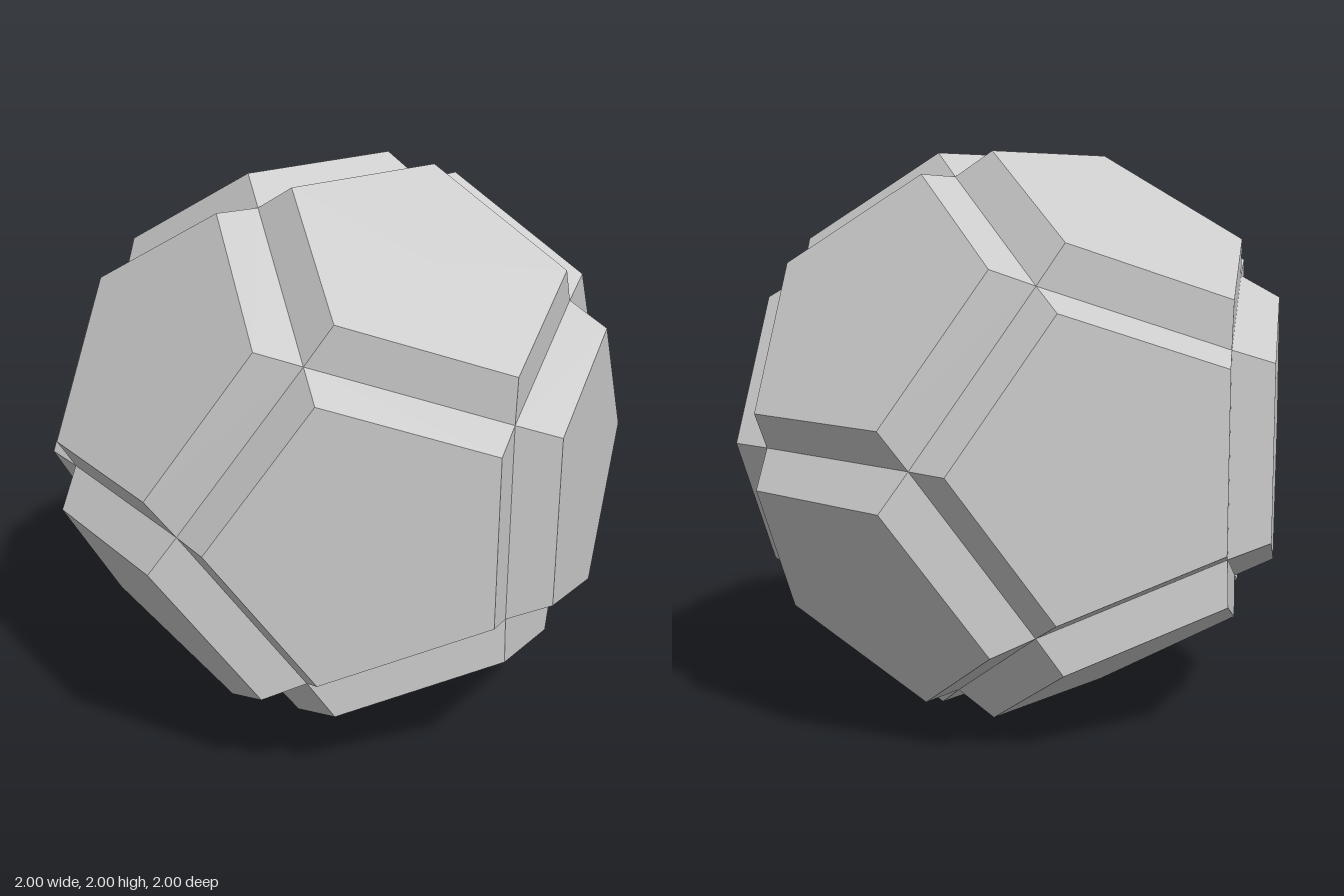
import * as THREE from 'three';

// Dodecahedron whose twelve faces are raised as tapered pentagonal plates.
export function createModel() {
  const group = new THREE.Group();
  group.name = 'dodecahedron';
  const material = new THREE.MeshStandardMaterial({ color: 0xcccccc, flatShading: true });

  const phi = (1 + Math.sqrt(5)) / 2;
  const len = Math.hypot(1, phi);
  const a = 1 / len, b = phi / len;         // components of a face normal
  const edge = 0.915;                       // centre to edge midpoint
  const sin36 = Math.sin(Math.PI / 5);
  const baseRadius = edge / phi ** 2 / sin36;
  const baseHeight = edge * b;
  const plateRadius = 0.302 / sin36;
  const plateHeight = 0.92;

  // One plate: sloping walls and a flat pentagon, open underneath
  const plate = new THREE.LatheGeometry([
    new THREE.Vector2(baseRadius, baseHeight),
    new THREE.Vector2(plateRadius, plateHeight),
    new THREE.Vector2(0, plateHeight),
  ], 5);

  // Cyclic shifts of the axes give the three groups of four faces
  const shift = (x, y, z, k) => new THREE.Vector3(...[[x, y, z], [z, x, y], [y, z, x]][k]);

  for (let k = 0; k < 3; k++) {
    for (const sx of [-1, 1]) {
      for (const sz of [-1, 1]) {
        const normal = shift(sx * a, 0, sz * b, k);
        const apex = shift(sx * b, 0, -sz * a, k);   // towards one pentagon corner
        const side = new THREE.Vector3().crossVectors(normal, apex);
        const mesh = new THREE.Mesh(plate, material);
        mesh.name = `facePlate${group.children.length + 1}`;
        mesh.quaternion.setFromRotationMatrix(new THREE.Matrix4().makeBasis(side, normal, apex));
        mesh.position.y = 1;
        group.add(mesh);
      }
    }
  }
  return group;
}
